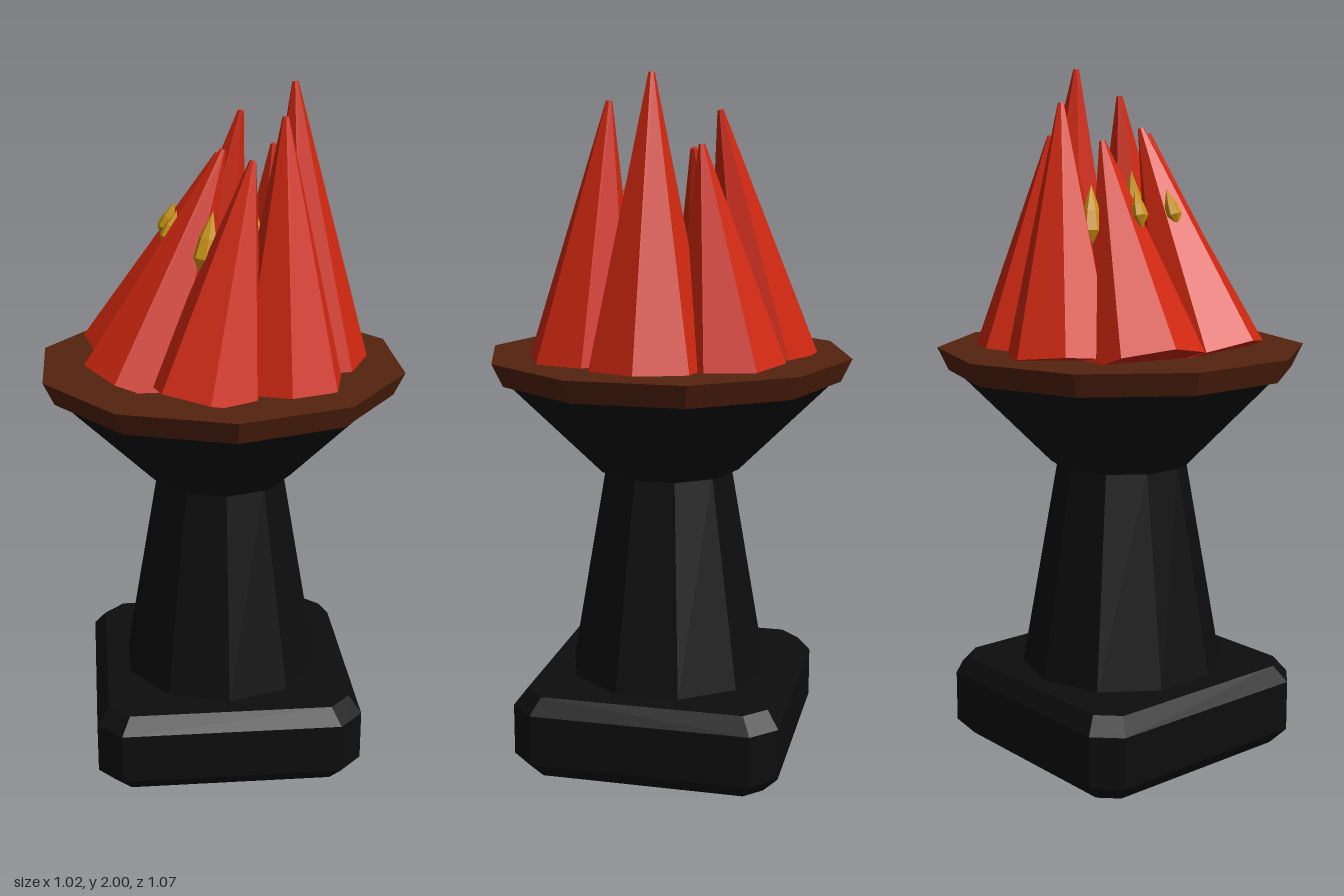
import * as THREE from 'three';
import { ConvexGeometry } from 'three/addons/geometries/ConvexGeometry.js';

const material = (name, color) => {
  const m = new THREE.MeshStandardMaterial({ color });
  m.name = name;
  return m;
};

// Faceted normals for the low-poly look
function faceted(geometry) {
  const g = geometry.index ? geometry.toNonIndexed() : geometry;
  g.computeVertexNormals();
  return g;
}

export function createModel() {
  const model = new THREE.Group();
  model.name = 'brazier';
  const black = material('black iron', 0x0d0d0d);
  const brown = material('brown rim', 0x55230f);
  const red = material('red flame', 0xd02810);
  const yellow = material('yellow ember', 0xc8920f);

  const add = (name, geometry, mat) => {
    const mesh = new THREE.Mesh(faceted(geometry), mat);
    mesh.name = name;
    model.add(mesh);
    return mesh;
  };

  // Square foot with chamfered edges: [height, half width, corner cut]
  const corners = [];
  for (const [y, h, c] of [[0, 0.345, 0.05], [0.05, 0.39, 0.07], [0.2, 0.39, 0.07], [0.247, 0.355, 0.06]]) {
    for (const sx of [-1, 1]) for (const sz of [-1, 1]) {
      corners.push(new THREE.Vector3(sx * h, y, sz * (h - c)));
      corners.push(new THREE.Vector3(sx * (h - c), y, sz * h));
    }
  }
  add('foot', new ConvexGeometry(corners), black);

  // Ten-sided column, bowl and rim
  const tier = (name, rTop, rBottom, y0, y1, mat) => {
    add(name, new THREE.CylinderGeometry(rTop, rBottom, y1 - y0, 10), mat).position.y = (y0 + y1) / 2;
  };
  tier('column', 0.19, 0.3, 0.24, 0.87, black);
  tier('bowl', 0.49, 0.21, 0.865, 1.145, black);
  tier('rim', 0.537, 0.505, 1.14, 1.207, brown);

  // Turns a mesh so its y axis follows a direction
  const up = new THREE.Vector3(0, 1, 0);
  const lean = (mesh, axis) => mesh.quaternion.setFromUnitVectors(up, axis);

  // Flames: seven-sided spikes leaning inward, one corner pointing outward (angle from +x to +z)
  const flame = (base, tip, radius, degrees) => {
    const a = new THREE.Vector3(...base), b = new THREE.Vector3(...tip);
    const axis = b.clone().sub(a);
    const length = axis.length();
    const g = new THREE.CylinderGeometry(0.009, radius, length, 7);
    g.rotateY(Math.PI / 2 - THREE.MathUtils.degToRad(degrees));
    const mesh = add('flame', g, red);
    lean(mesh, axis.normalize());
    mesh.position.copy(a).add(b).multiplyScalar(0.5);
    return axis;
  };

  // Embers: small spindles poking out of the flames
  const ember = (center, radius, height, axis) => {
    const profile = [[0, -0.5], [radius, -0.2], [radius * 0.75, 0.1], [0, 0.5]]
      .map(([r, y]) => new THREE.Vector2(r, y * height));
    const mesh = add('ember', new THREE.LatheGeometry(profile, 7), yellow);
    lean(mesh, axis);
    mesh.position.set(...center);
  };

  // Tall flame
  const tallAxis = flame([0.25, 1.2, 0], [0.205, 2, 0], 0.18, 0);
  ember([0.148, 1.5, 0], 0.07, 0.28, tallAxis);

  // Mirrored pairs, each side with its own tip height
  for (const s of [1, -1]) {
    const front = s > 0;
    const a1 = flame([0.165, 1.195, 0.205 * s], [0.163, front ? 1.925 : 1.81, 0.13 * s], 0.167, 40 * s);
    const a2 = flame([-0.06, 1.19, 0.262 * s], [0.072, front ? 1.815 : 1.9, 0.163 * s], 0.167, 92 * s);
    const a3 = flame([-0.235, 1.19, 0.12 * s], [0, front ? 1.83 : 1.795, 0.072 * s], 0.172, 171 * s);
    ember([0.075, 1.59, 0.112 * s], 0.042, 0.24, a1);
    ember([-0.052, 1.585, 0.155 * s], 0.034, 0.19, a2);
    ember([-0.145, 1.61, 0.062 * s], 0.024, 0.11, a3);
  }
  return model;
}
